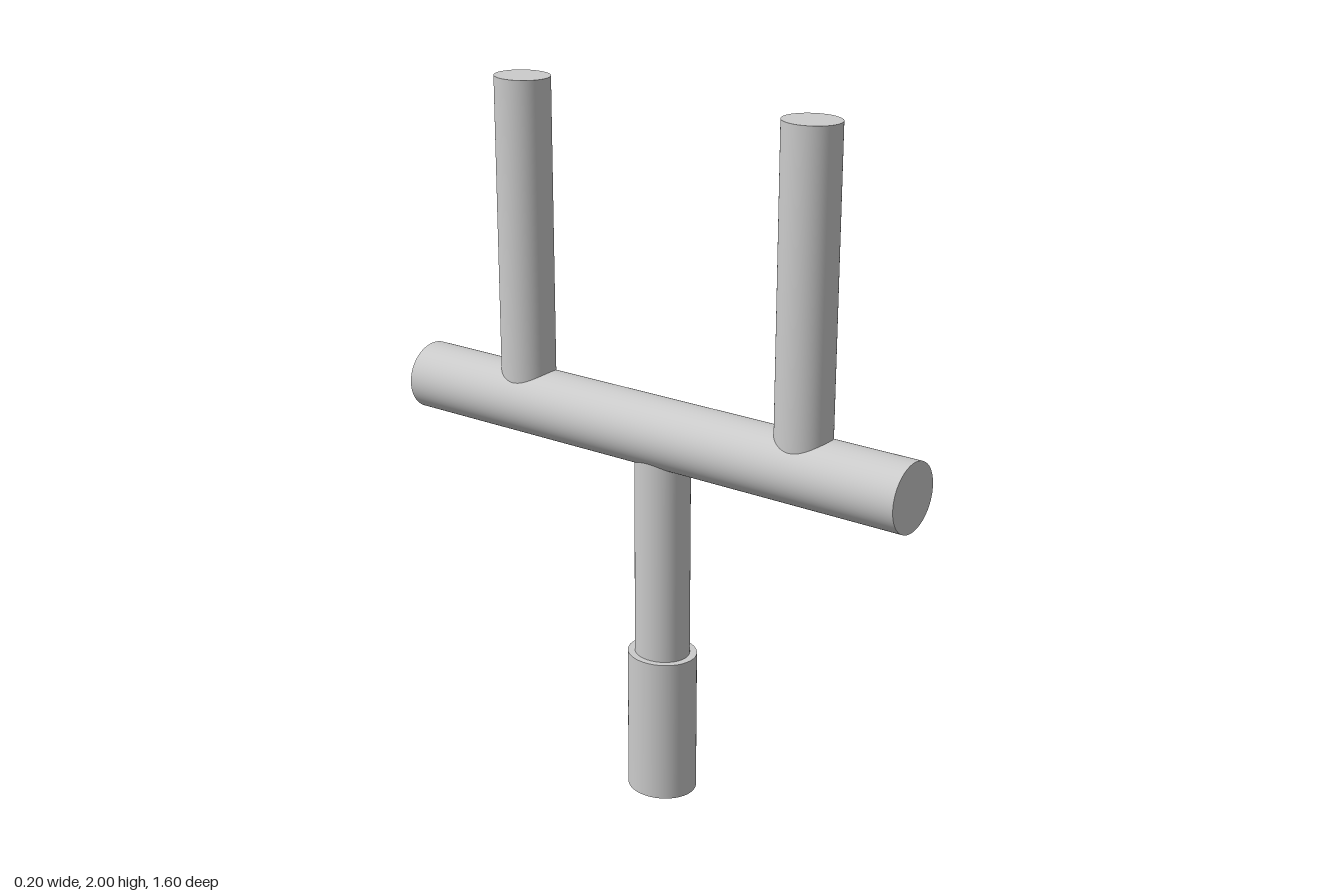
import * as THREE from 'three';

const material = new THREE.MeshStandardMaterial({ color: 0xcccccc });

// Upright oval rod from y0 to y1, with radii rx and rz, centred at depth z
function uprightRod(name, rx, rz, y0, y1, z) {
  const geometry = new THREE.CylinderGeometry(1, 1, y1 - y0, 64);
  geometry.scale(rx, 1, rz);
  geometry.translate(0, (y0 + y1) / 2, z);
  const mesh = new THREE.Mesh(geometry, material);
  mesh.name = name;
  return mesh;
}

export function createModel() {
  const group = new THREE.Group();
  group.name = 'twoProngedFork';
  const barY = 1.081;

  // Grip and stem, slightly forward of the centre
  group.add(uprightRod('grip', 0.091, 0.101, 0, 0.424, 0.024));
  group.add(uprightRod('stem', 0.072, 0.08, 0.4, barY, 0.024));

  // Horizontal oval crossbar running front to back
  const bar = new THREE.CylinderGeometry(1, 1, 1.604, 64);
  bar.rotateX(Math.PI / 2);
  bar.scale(0.101, 0.096, 1);
  bar.translate(0, barY, 0);
  const crossbar = new THREE.Mesh(bar, material);
  crossbar.name = 'crossbar';
  group.add(crossbar);

  // Two prongs standing on the crossbar
  group.add(uprightRod('frontProng', 0.072, 0.08, barY, 2, 0.474));
  group.add(uprightRod('backProng', 0.072, 0.08, barY, 2, -0.442));

  return group;
}
